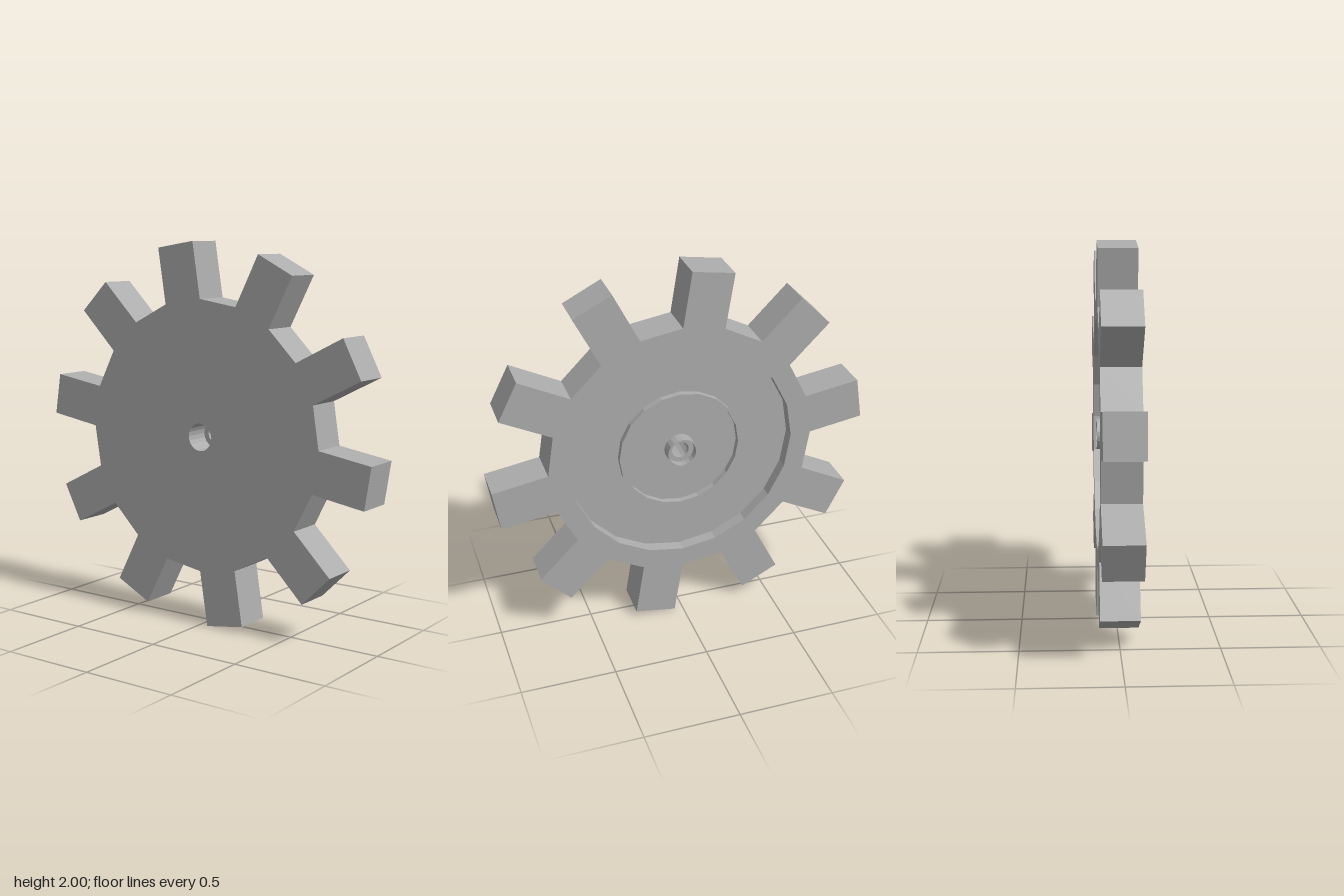
import * as THREE from 'three';

const SIDES = 20;        // two steps per tooth: tooth, gap
const HALF = 0.1;        // half of the thickness
const ROOT = 0.71, TOOTH = 0.2935;
const RECESS = 0.6, BORE = 0.072;

const onCircle = (r, i) => {
  const a = (i / SIDES) * Math.PI * 2;
  return new THREE.Vector2(r * Math.cos(a), r * Math.sin(a));
};
const circle = (r) => Array.from({ length: SIDES }, (_, i) => onCircle(r, i));

// Outline with ten straight-sided teeth on a 20-sided root
function gearOutline() {
  const points = [];
  for (let i = 0; i < SIDES; i += 2) {
    const a = onCircle(ROOT, i), b = onCircle(ROOT, i + 1);
    const out = onCircle(TOOTH, i + 0.5);
    points.push(a, a.clone().add(out), b.clone().add(out), b);
  }
  return points;
}

// Flat gear face with a round hole
function gearFace(outline, holeRadius, z) {
  const shape = new THREE.Shape(outline);
  shape.holes.push(new THREE.Path(circle(holeRadius)));
  return new THREE.ShapeGeometry(shape).translate(0, 0, z);
}

// Walls around the outline
function gearWalls(outline) {
  const pos = [];
  outline.forEach((a, i) => {
    const b = outline[(i + 1) % outline.length];
    pos.push(a.x, a.y, -HALF, b.x, b.y, -HALF, b.x, b.y, HALF);
    pos.push(a.x, a.y, -HALF, b.x, b.y, HALF, a.x, a.y, HALF);
  });
  const geo = new THREE.BufferGeometry();
  geo.setAttribute('position', new THREE.Float32BufferAttribute(pos, 3));
  geo.computeVertexNormals();
  return geo;
}

export function createModel() {
  const group = new THREE.Group();
  group.name = 'gearWheel';
  const material = new THREE.MeshStandardMaterial({ color: 0xacacac, flatShading: true });
  const add = (name, geo) => {
    const mesh = new THREE.Mesh(geo, material);
    mesh.name = name;
    mesh.position.y = 1;
    group.add(mesh);
  };

  // Toothed body, turned so its axle lies along x
  const outline = gearOutline();
  const back = gearFace(outline, BORE, -HALF);
  back.index.array.reverse();
  back.computeVertexNormals();
  add('toothedRimFace', gearFace(outline, RECESS, HALF).rotateY(Math.PI / 2));
  add('backFace', back.rotateY(Math.PI / 2));
  add('toothWalls', gearWalls(outline).rotateY(Math.PI / 2));

  // Recess, raised ring, hub, and bore with a narrow collar, in one turned profile
  const floor = 0.037, ring = 0.069, collar = 0.06;
  const profile = [
    [RECESS, HALF], [RECESS, floor],
    [0.33, floor], [0.33, ring], [0.315, ring], [0.315, floor],
    [0.08, floor], [0.08, HALF], [BORE, HALF], [BORE, collar],
    [0.045, collar], [0.045, floor], [BORE, floor], [BORE, -HALF],
  ].map(([r, y]) => new THREE.Vector2(r, y));
  add('recessedHub', new THREE.LatheGeometry(profile, SIDES).rotateZ(-Math.PI / 2));

  return group;
}
